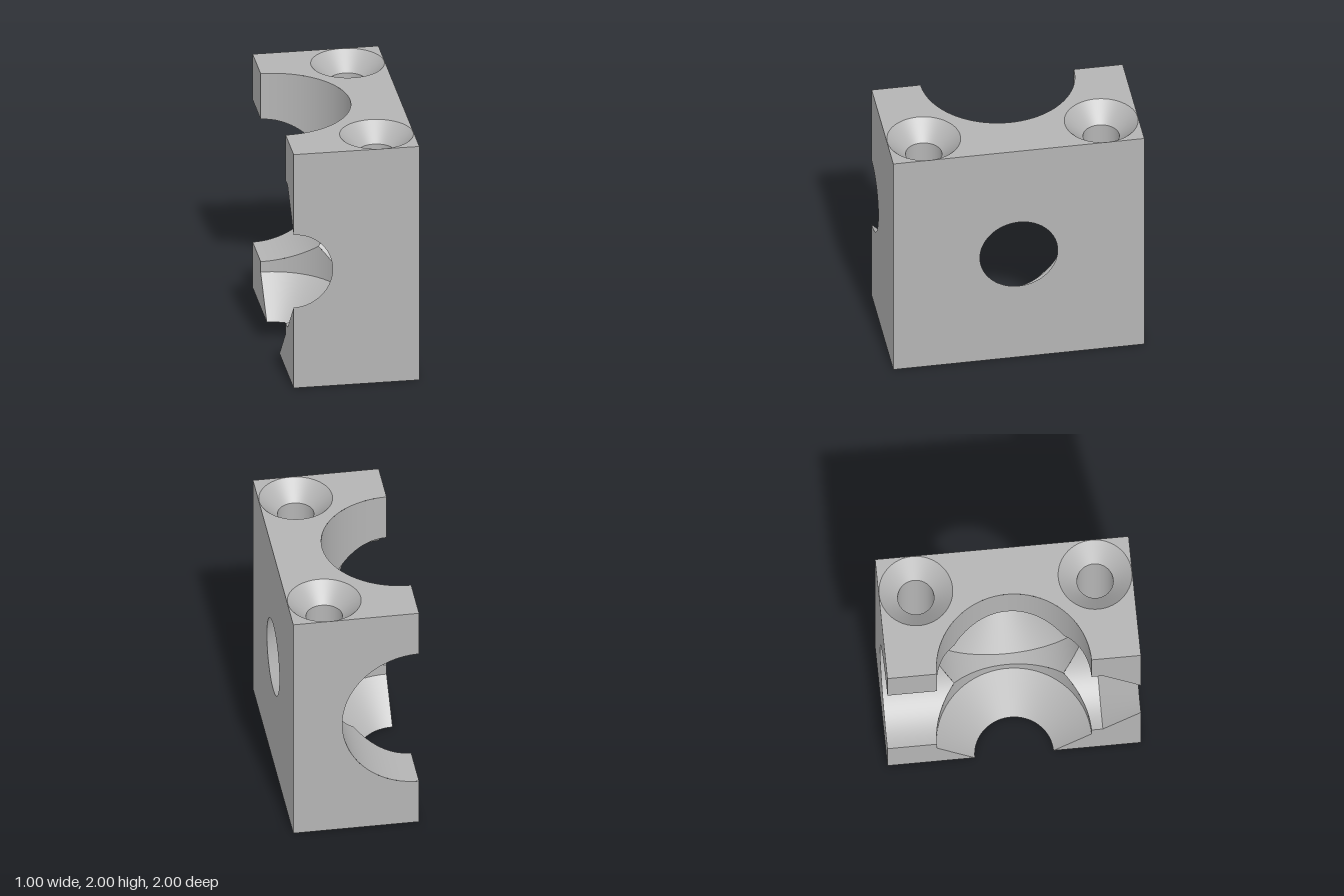
import * as THREE from 'three';

const R = 0.61, r = 0.31;            // bore and port radii
const STEP = R - r;                  // 45 degree seat depth
const CX = -0.5, CY = 1;             // bore axes cross at (CX, CY, 0)
const SX = 0.207, SZ = 0.707;        // screw hole position
const SR = 0.143, SK = 0.29;         // screw hole and countersink radii

// Positive inside each cut-out
const bore = (u, a, b) => Math.min(R, r + 1 - u) - Math.hypot(a, b);
const inX = p => bore(p.x - CX, p.y - CY, p.z);
const inY = p => bore(CY - p.y, p.x - CX, p.z);
const inZ = p => bore(p.z, p.x - CX, p.y - CY);
const inScrew = p => Math.max(SR, SK - (2 - p.y)) - Math.hypot(p.x - SX, Math.abs(p.z) - SZ);

// Trim away the part of a surface that lies inside other cut-outs
function trim(geometry, cutters) {
  const g = geometry.toNonIndexed();
  const P = g.attributes.position, N = g.attributes.normal;
  let tris = [];
  for (let i = 0; i < P.count; i += 3) {
    tris.push([0, 1, 2].map(k => ({
      p: new THREE.Vector3().fromBufferAttribute(P, i + k),
      n: new THREE.Vector3().fromBufferAttribute(N, i + k),
    })));
  }
  for (const f of cutters) {
    const kept = [];
    for (const t of tris) {
      const d = t.map(v => f(v.p));
      const poly = [];
      t.forEach((a, i) => {
        const j = (i + 1) % 3, b = t[j];
        if (d[i] <= 0) poly.push(a);
        if ((d[i] <= 0) !== (d[j] <= 0)) {
          const s = d[i] / (d[i] - d[j]);
          poly.push({ p: a.p.clone().lerp(b.p, s), n: a.n.clone().lerp(b.n, s).normalize() });
        }
      });
      for (let i = 2; i < poly.length; i++) kept.push([poly[0], poly[i - 1], poly[i]]);
    }
    tris = kept;
  }
  const verts = tris.flat();
  const out = new THREE.BufferGeometry();
  out.setAttribute('position', new THREE.Float32BufferAttribute(verts.flatMap(v => v.p.toArray()), 3));
  out.setAttribute('normal', new THREE.Float32BufferAttribute(verts.flatMap(v => v.n.toArray()), 3));
  return out;
}

// Inward-facing wall of revolution, from (r0, y0) down to (r1, y1)
function wall(r0, y0, r1, y1, steps, angle = Math.PI * 2) {
  const pts = [];
  for (let i = 0; i <= steps; i++) {
    const t = i / steps;
    pts.push(new THREE.Vector2(r0 + (r1 - r0) * t, y0 + (y1 - y0) * t));
  }
  return new THREE.LatheGeometry(pts, angle > 4 ? 96 : 48, 0, angle);
}

// Rectangle with a half-round notch in its -x edge
function notched(radius) {
  const s = new THREE.Shape();
  s.moveTo(CX, -1);
  s.lineTo(0.5, -1);
  s.lineTo(0.5, 1);
  s.lineTo(CX, 1);
  s.lineTo(CX, radius);
  s.absarc(CX, 0, radius, Math.PI / 2, -Math.PI / 2, true);
  s.closePath();
  return s;
}

function punch(shape, x, y, radius) {
  const h = new THREE.Path();
  h.absarc(x, y, radius, 0, Math.PI * 2, true);
  shape.holes.push(h);
  return shape;
}

export function createModel() {
  const group = new THREE.Group();
  const grey = new THREE.MeshStandardMaterial({ color: 0xb4b4b4 });
  grey.name = 'grey';
  const add = (name, geometry) => {
    const m = new THREE.Mesh(geometry, grey);
    m.name = name;
    group.add(m);
  };
  const face = shape => new THREE.ShapeGeometry(shape, 48);
  const Q = Math.PI / 2;

  // Outer faces
  const withScrews = (radius, hole) =>
    punch(punch(notched(radius), SX, SZ, hole), SX, -SZ, hole);
  add('topFace', face(withScrews(R, SK)).rotateX(-Q).translate(0, 2, 0));
  add('bottomFace', face(withScrews(r, SR)).rotateX(Q));
  add('frontFace', face(notched(r)).translate(0, CY, 1));
  add('backFace', face(notched(R)).rotateX(Math.PI).translate(0, CY, -1));
  const square = new THREE.Shape([[-1, -1], [1, -1], [1, 1], [-1, 1]].map(p => new THREE.Vector2(...p)));
  add('sideFace', face(punch(square, 0, 0, r)).rotateY(Q).translate(0.5, CY, 0));

  // Four corner pads on the open side, as (z, y) outlines
  const lo = CY - R, hi = CY + R;
  const pads = {
    topFrontPad: [[R, 2], [R, hi], [1 - STEP, hi], [1, CY + r], [1, 2]],
    topBackPad: [[-R, 2], [-1, 2], [-1, hi], [-R, hi]],
    bottomBackPad: [[-r, 0], [-R, STEP], [-R, lo], [-1, lo], [-1, 0]],
    bottomFrontPad: [[r, 0], [1, 0], [1, CY - r], [1 - STEP, lo], [R, lo], [R, STEP]],
  };
  for (const [name, pts] of Object.entries(pads)) {
    const s = new THREE.Shape(pts.map(p => new THREE.Vector2(...p)));
    add(name, face(s).rotateY(-Q).translate(CX, 0, 0));
  }

  // Three crossing bores, each ending in a conical seat
  const bores = [
    { name: 'side', top: 0, angle: 2 * Math.PI, turn: g => g.rotateZ(Q), cut: [inY, inZ, inScrew] },
    { name: 'vertical', top: 1, angle: Math.PI, turn: g => g, cut: [inX, inZ, inScrew] },
    { name: 'lengthwise', top: 1, angle: Math.PI, turn: g => g.rotateX(-Q), cut: [inX, inY, inScrew] },
  ];
  for (const b of bores) {
    const place = g => trim(b.turn(g).translate(CX, CY, 0), b.cut);
    add(b.name + 'Bore', place(wall(R, b.top, R, STEP - 1, 40, b.angle)));
    add(b.name + 'Seat', place(wall(R, STEP - 1, r, -1, 16, b.angle)));
  }

  // Countersunk screw holes
  const neck = 2 - (SK - SR);
  for (const side of [1, -1]) {
    const name = side > 0 ? 'front' : 'back';
    add(name + 'Countersink', wall(SK, 2, SR, neck, 1).translate(SX, 0, side * SZ));
    add(name + 'ScrewHole', trim(wall(SR, neck, SR, 0, 40).translate(SX, 0, side * SZ), [inX, inY, inZ]));
  }
  return group;
}
